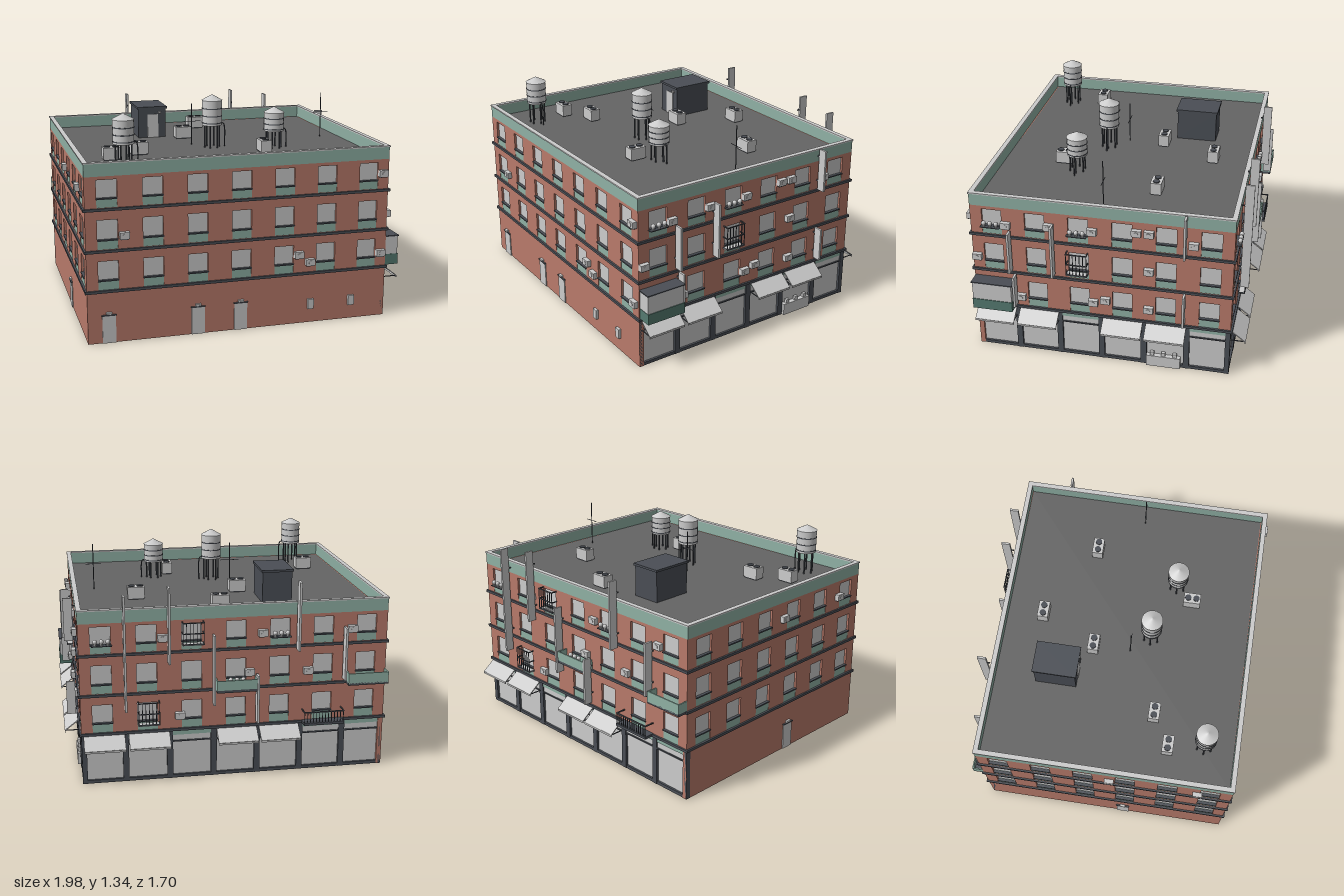
import * as THREE from 'three';

const mat = (color) => new THREE.MeshStandardMaterial({ color, side: THREE.DoubleSide, flatShading: true });
const GREY = mat(0xcccccc), BRICK = mat(0xb87a6a), GREEN = mat(0x8fb0a4), DARK = mat(0x4a4e55), ROOF = mat(0x646464), TEAL = mat(0x557a70);
const SMOOTH = new THREE.MeshStandardMaterial({ color: 0xcccccc });
const CX = -0.04, CZ = 0.05, W = 1.86, D = 1.58, T = 0.03;

function add(parent, name, geo, material, x = 0, y = 0, z = 0) {
  const m = new THREE.Mesh(geo, material);
  m.name = name;
  m.position.set(x, y, z);
  parent.add(m);
  return m;
}
// box given by its centre in x and z and its bottom and top in y
const box = (p, name, mt, x, y0, y1, z, w, d) =>
  add(p, name, new THREE.BoxGeometry(w, y1 - y0, d), mt, x, (y0 + y1) / 2, z);
const rod = (p, name, mt, x, y0, y1, z, r, r2 = r, n = 8) =>
  add(p, name, new THREE.CylinderGeometry(r2, r, y1 - y0, n), mt, x, (y0 + y1) / 2, z);
function group(parent, name) {
  const g = new THREE.Group();
  g.name = name;
  parent.add(g);
  return g;
}
function rectPath(x0, y0, x1, y1) {
  return new THREE.Path([[x0, y0], [x1, y0], [x1, y1], [x0, y1]].map((p) => new THREE.Vector2(...p)));
}

const FLOORS = [[0.325, 0.383, 0.5], [0.57, 0.625, 0.745], [0.817, 0.87, 0.98]];

// One facade in its own frame: x along the wall, z outward, outer face at z = 0
function facade(root, name, rot, x, z, width, count, step, shops) {
  const g = group(root, name), h = width / 2, y0 = shops ? 0.31 : 0;
  g.position.set(x, 0, z);
  g.rotation.y = rot;
  const shape = new THREE.Shape(rectPath(-h, y0, h, 1.0).getPoints());
  for (let i = 0; i < count; i++) {
    const u = (i - (count - 1) / 2) * step;
    for (const [a, b, c] of FLOORS) {
      shape.holes.push(rectPath(u - 0.06, a, u + 0.06, c));
      box(g, 'windowPane', GREY, u, b, c, -0.018, 0.12, 0.008);
      box(g, 'windowApron', GREEN, u, a, b, -0.009, 0.12, 0.014);
      box(g, 'windowSill', DARK, u, b - 0.004, b + 0.004, -0.003, 0.124, 0.018);
    }
    if (shops) shopBay(g, u, step);
  }
  if (shops) for (let i = 0; i <= count; i++) {
    const u = Math.max(-h + 0.009, Math.min(h - 0.009, (i - count / 2) * step));
    box(g, 'shopPillar', DARK, u, 0, 0.315, -0.015, i % count ? 0.036 : 0.018, T);
  }
  add(g, 'brickWall', new THREE.ExtrudeGeometry(shape, { depth: T, bevelEnabled: false }), BRICK, 0, 0, -T);
  for (const y of [0.318, 0.56, 0.807]) box(g, 'floorBand', DARK, 0, y - 0.008, y + 0.008, 0, width + 0.02, 0.022);
  box(g, 'parapet', GREEN, 0, 1.0, 1.076, -0.012, width, 0.024);
  box(g, 'parapetCap', GREY, 0, 1.074, 1.082, -0.011, width + 0.008, 0.03);
  return g;
}

function shopBay(g, u, step) {
  const w = step - 0.03;
  box(g, 'shopFront', GREY, u, 0.018, 0.238, -0.02, w, 0.01);
  box(g, 'shopKerb', DARK, u, 0, 0.02, -0.015, w, 0.026);
  box(g, 'shopLintel', DARK, u, 0.236, 0.244, -0.014, w, 0.026);
  box(g, 'shopTransom', GREY, u, 0.244, 0.282, -0.016, w, 0.016);
  box(g, 'shopFascia', GREEN, u, 0.28, 0.312, -0.014, w, 0.022);
}

// Slanted shop awning on two struts
function awning(g, u) {
  const a = group(g, 'awning');
  const s = box(a, 'awningSheet', GREY, u, 0.275, 0.281, 0.045, 0.245, 0.113);
  s.rotation.x = 0.66;
  box(a, 'awningValance', GREY, u, 0.232, 0.247, 0.088, 0.245, 0.004);
  for (const e of [-0.115, 0.115]) box(a, 'awningStrut', DARK, u + e, 0.24, 0.245, 0.045, 0.005, 0.09);
}

// Air conditioner: case, grille disc and bracket
function cooler(g, u, y) {
  box(g, 'airConditioner', GREY, u, y - 0.02, y + 0.02, 0.013, 0.058, 0.028);
  add(g, 'coolerFan', new THREE.CylinderGeometry(0.013, 0.013, 0.004, 12).rotateX(Math.PI / 2), GREY, u, y, 0.028);
  box(g, 'coolerBracket', DARK, u, y - 0.025, y - 0.02, 0.01, 0.045, 0.022);
}

// Upright signboard standing out from the wall
function signboard(g, u, y0, y1) {
  box(g, 'signBoard', GREY, u, y0, y1, 0.044, 0.013, 0.054);
  for (const t of [0.2, 0.8]) box(g, 'signBracket', DARK, u, y0 + (y1 - y0) * t, y0 + (y1 - y0) * t + 0.008, 0.012, 0.006, 0.024);
}

// Round plants in pots on a sill
function plants(g, u, y, z = 0.018) {
  for (const e of [-0.038, 0, 0.038]) {
    rod(g, 'plantPot', GREY, u + e, y, y + 0.014, z, 0.008, 0.011);
    add(g, 'plant', new THREE.SphereGeometry(0.014, 10, 8), SMOOTH, u + e, y + 0.024, z);
  }
  box(g, 'plantShelf', DARK, u, y - 0.005, y, z - 0.004, 0.12, 0.03);
}

// Barred cage in front of a window
function cage(g, u, floor) {
  const c = group(g, 'windowCage'), y0 = FLOORS[floor][1] - 0.012, y1 = FLOORS[floor][2] + 0.008;
  for (const y of [y0, (y0 + y1) / 2, y1]) {
    box(c, 'cageRail', DARK, u, y - 0.003, y + 0.003, 0.04, 0.13, 0.006);
    for (const s of [-0.062, 0.062]) box(c, 'cageSideRail', DARK, u + s, y - 0.003, y + 0.003, 0.02, 0.006, 0.04);
  }
  for (let i = 0; i < 7; i++) box(c, 'cageBar', DARK, u - 0.062 + i * 0.0207, y0, y1, 0.04, 0.004, 0.004);
  box(c, 'cageFloor', GREY, u, y0 - 0.006, y0, 0.02, 0.13, 0.045);
}

// Balcony with solid or railed front
function balcony(g, u, y, railed) {
  const b = group(g, 'balcony'), w = 0.25, d = 0.068;
  box(b, 'balconyFloor', DARK, u, y - 0.01, y + 0.006, d / 2, w, d);
  if (!railed) {
    box(b, 'balconyFront', GREEN, u, y, y + 0.065, d - 0.004, w, 0.008);
    for (const s of [-1, 1]) box(b, 'balconySide', GREEN, u + s * (w / 2 - 0.004), y, y + 0.065, d / 2, 0.008, d);
    return;
  }
  box(b, 'handrail', DARK, u, y + 0.07, y + 0.077, d - 0.004, w, 0.007);
  for (const s of [-1, 1]) box(b, 'sideRail', DARK, u + s * (w / 2 - 0.003), y + 0.07, y + 0.077, d / 2, 0.006, d);
  for (let i = 0; i < 14; i++) box(b, 'baluster', DARK, u - w / 2 + 0.004 + i * 0.0186, y, y + 0.07, d - 0.004, 0.004, 0.004);
}

function door(g, u) {
  box(g, 'door', GREY, u, 0, 0.17, 0, 0.08, 0.012);
  box(g, 'doorLintel', DARK, u, 0.168, 0.174, 0.003, 0.088, 0.016);
  box(g, 'doorLamp', GREY, u, 0.178, 0.19, 0.008, 0.034, 0.016);
}

// Water tank: ringed drum, cone lid, legs and outlet pipe
function tank(root, x, z, y0, y1, top) {
  const t = group(root, 'waterTank'), r = 0.063;
  t.position.set(x, 0, z);
  rod(t, 'tankDrum', SMOOTH, 0, y0, y1, 0, r, r, 24);
  rod(t, 'tankLid', SMOOTH, 0, y1, top, 0, r + 0.003, 0.004, 24);
  for (const f of [0.08, 0.36, 0.66]) rod(t, 'tankHoop', DARK, 0, y0 + (y1 - y0) * f, y0 + (y1 - y0) * f + 0.006, 0, r + 0.002, r + 0.002, 24);
  for (let i = 0; i < 6; i++) rod(t, 'tankLeg', DARK, Math.cos(i * Math.PI / 3) * 0.048, 1.0, y0, Math.sin(i * Math.PI / 3) * 0.048, 0.005);
  const pts = [[0.05, y0 + 0.012], [0.075, y0 + 0.008], [0.083, y0 - 0.02], [0.083, 1.0]].map((p) => new THREE.Vector3(p[0], p[1], 0));
  add(t, 'tankPipe', new THREE.TubeGeometry(new THREE.CatmullRomCurve3(pts), 12, 0.004, 6), DARK);
}

function roofUnit(root, x, z, turn) {
  const g = group(root, 'roofVentUnit');
  g.position.set(x, 1.0, z);
  g.rotation.y = turn;
  box(g, 'unitCase', GREY, 0, 0.006, 0.078, 0, 0.106, 0.068);
  for (const s of [-0.026, 0.026]) rod(g, 'unitFan', DARK, s, 0.078, 0.084, 0, 0.02, 0.02, 16);
  box(g, 'unitBase', DARK, 0, 0, 0.008, 0, 0.096, 0.06);
}

export function createModel() {
  const root = new THREE.Group();
  root.name = 'cornerBuilding';
  const front = facade(root, 'frontFacade', 0, CX, CZ + D / 2, W, 7, 0.267, false);
  const right = facade(root, 'rightFacade', Math.PI / 2, CX + W / 2, CZ, D, 6, 0.263, true);
  const back = facade(root, 'backFacade', Math.PI, CX, CZ - D / 2, W, 7, 0.267, true);
  const left = facade(root, 'leftFacade', -Math.PI / 2, CX - W / 2, CZ, D, 6, 0.263, false);
  const F = (x) => x - CX, R = (z) => CZ - z, B = (x) => CX - x, L = (z) => z - CZ;

  // plain brick sides
  for (const x of [-0.845, -0.31, -0.045]) door(front, F(x));
  door(left, L(0.17));
  for (const x of [0.4, 0.665]) box(front, 'wallVent', GREY, F(x), 0.09, 0.152, 0.006, 0.038, 0.022);
  for (const [x, y] of [[-0.745, 0.65], [0.317, 0.443], [0.39, 0.392], [0.85, 0.915], [0.85, 0.412]]) cooler(front, F(x), y);
  for (const [z, y] of [[0.085, 0.9], [0.63, 0.9]]) cooler(left, L(z), y);

  // right side
  for (const z of [0.705, 0.437, -0.085, -0.35]) awning(right, R(z));
  for (const [z, y] of [[0.62, 0.89], [0.356, 0.91], [0.095, 0.91], [-0.17, 0.935], [-0.244, 0.935], [-0.505, 0.89],
    [0.81, 0.655], [-0.244, 0.68], [0.547, 0.395], [0.095, 0.415], [0.02, 0.44], [-0.244, 0.41]]) cooler(right, R(z), y);
  for (const [z, a, b] of [[0.595, 0.59, 0.86], [0.575, 0.35, 0.56], [0.33, 0.595, 0.935], [-0.46, 0.82, 1.085], [-0.46, 0.35, 0.56]]) signboard(right, R(z), a, b);
  for (const z of [0.714, 0.188]) plants(right, R(z), 0.872);
  cage(right, R(0.188), 1);
  const bay = group(right, 'enclosedBalcony');
  box(bay, 'enclosureBase', TEAL, R(0.71), 0.325, 0.392, 0.044, 0.25, 0.088);
  box(bay, 'enclosureGlazing', GREY, R(0.71), 0.392, 0.505, 0.042, 0.245, 0.084);
  box(bay, 'enclosureRoof', DARK, R(0.71), 0.505, 0.512, 0.044, 0.255, 0.09);

  // serving counter in one shop
  box(right, 'shopCounter', GREY, R(-0.337), 0, 0.075, 0.002, 0.21, 0.03);
  for (const e of [-0.07, 0, 0.07]) {
    box(right, 'counterItem', GREY, R(-0.337) + e, 0.075, 0.1, 0.002, 0.024, 0.018);
    box(right, 'hangingLamp', DARK, R(-0.337) + e, 0.19, 0.215, -0.008, 0.022, 0.016);
  }

  // back side
  for (const x of [0.755, 0.487, -0.045, -0.305]) awning(back, B(x));
  for (const [x, a, b] of [[0.625, 0.47, 1.17], [0.365, 0.75, 1.21], [0.1, 0.48, 0.91], [-0.165, 0.35, 0.65], [-0.41, 0.79, 1.21], [-0.7, 0.59, 0.917]]) signboard(back, B(x), a, b);
  balcony(back, B(-0.845), 0.565, false);
  balcony(back, B(-0.04), 0.565, false);
  balcony(back, B(-0.575), 0.322, true);
  plants(back, B(-0.04), 0.6, 0.035);
  for (const x of [-0.31, 0.755]) plants(back, B(x), 0.872);
  cage(back, B(0.22), 2);
  cage(back, B(0.487), 0);
  for (const [x, y] of [[0.4, 0.9], [-0.12, 0.66], [-0.2, 0.9], [0.3, 0.41], [-0.75, 0.9], [-0.48, 0.65]]) cooler(back, B(x), y);

  // roof
  box(root, 'roofDeck', ROOF, CX, 0.985, 1.0, CZ, W - 0.04, D - 0.04);
  const shed = group(root, 'stairHouse');
  box(shed, 'shedWalls', DARK, -0.35, 1.0, 1.195, -0.333, 0.185, 0.255);
  box(shed, 'shedRoof', DARK, -0.35, 1.193, 1.207, -0.333, 0.2, 0.272);
  box(shed, 'shedDoor', GREY, -0.345, 1.0, 1.155, -0.205, 0.072, 0.008);
  box(shed, 'shedLamp', GREY, -0.3, 1.16, 1.172, -0.2, 0.02, 0.014);
  tank(root, -0.7, 0.63, 1.139, 1.283, 1.315);
  tank(root, -0.05, 0.21, 1.144, 1.303, 1.337);
  tank(root, 0.325, 0.327, 1.11, 1.228, 1.262);
  for (const [x, z, turn] of [[0.013, -0.487, 0], [0.5, -0.214, 0], [-0.158, -0.139, 0], [-0.543, 0.3, 0], [-0.735, 0.41, 0], [0.227, 0.433, Math.PI / 2]])
    roofUnit(root, x, z, turn);
  for (const [x, z, top, bar, w] of [[-0.155, 0.095, 1.265, 1.15, 0.12], [0.745, 0.06, 1.295, 1.165, 0.1]]) {
    rod(root, 'antennaMast', DARK, x, 1.0, top, z, 0.003);
    box(root, 'antennaBar', DARK, x, bar, bar + 0.003, z, w, 0.003);
  }
  return root;
}
